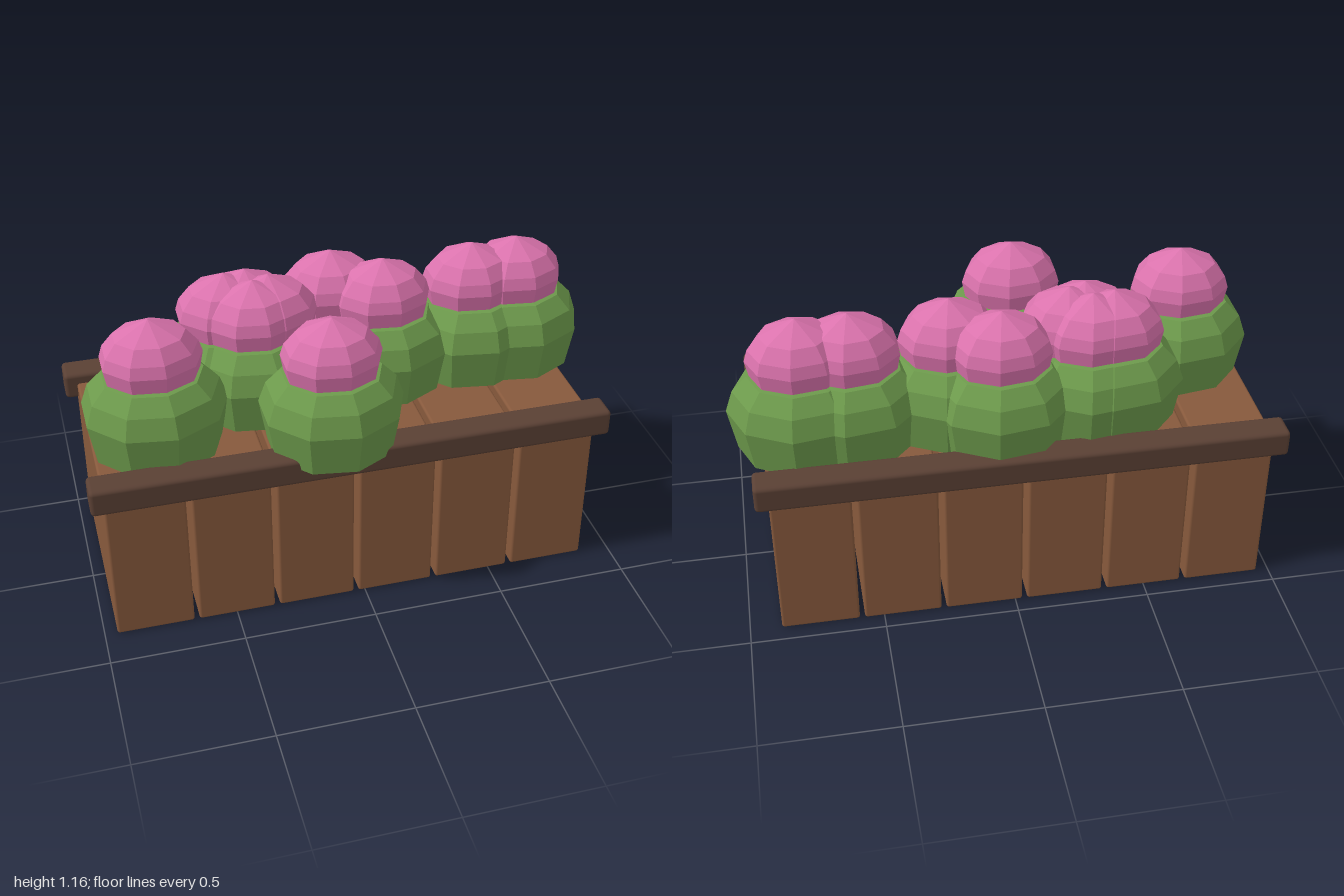
import * as THREE from 'three';
import { RoundedBoxGeometry } from 'three/addons/geometries/RoundedBoxGeometry.js';

function material(name, color, flatShading = false) {
  const m = new THREE.MeshStandardMaterial({ color, flatShading });
  m.name = name;
  return m;
}

// Nine-sided turned form, narrowed in depth
function faceted(profile, depthScale) {
  const points = profile.map(([r, y]) => new THREE.Vector2(r, y));
  const geo = new THREE.LatheGeometry(points, 9, Math.PI / 2);
  geo.scale(1, 1, depthScale);
  return geo;
}

export function createModel() {
  const model = new THREE.Group();
  model.name = 'flowerPlanter';

  const wood = material('plankWood', 0x87593c);
  const darkWood = material('railWood', 0x5a4034);
  const leaf = material('leafGreen', 0x6d9a4c, true);
  const petal = material('petalPink', 0xdb73ad, true);

  function add(parent, name, geo, mat, x, y, z) {
    const mesh = new THREE.Mesh(geo, mat);
    mesh.name = name;
    mesh.position.set(x, y, z);
    parent.add(mesh);
  }

  // Six thick planks side by side form the box
  const plankGeo = new RoundedBoxGeometry(0.29, 0.65, 0.795, 2, 0.01);
  for (let i = 0; i < 6; i++) {
    add(model, 'plank', plankGeo, wood, -0.808 + i * 0.309, 0.325, -0.043);
  }

  // Rails along the front and back rim
  const railGeo = new RoundedBoxGeometry(1.93, 0.103, 0.112, 2, 0.015);
  add(model, 'frontRail', railGeo, darkWood, -0.035, 0.638, 0.34);
  add(model, 'backRail', railGeo, darkWood, -0.035, 0.638, -0.426);

  // Bushes, each topped by a blossom
  const bushGeo = faceted(
    [[0, 0.575], [0.24, 0.65], [0.268, 0.81], [0.24, 0.89], [0.185, 0.947], [0, 0.97]], 0.91);
  const blossomGeo = faceted(
    [[0, 0.88], [0.165, 0.9], [0.186, 1.01], [0.172, 1.055], [0.13, 1.107], [0, 1.165]], 0.85);
  const spots = [
    [-0.715, 0.088], [-0.1, 0.242], [-0.4, -0.165], [-0.32, -0.175], [-0.31, -0.087],
    [-0.246, -0.115], [0.02, -0.237], [0.19, -0.122], [0.55, -0.157], [0.73, -0.162],
  ];
  for (const [x, z] of spots) {
    const plant = new THREE.Group();
    plant.name = 'plant';
    plant.position.set(x, 0, z);
    add(plant, 'bush', bushGeo, leaf, 0, 0, 0);
    add(plant, 'blossom', blossomGeo, petal, 0, 0, 0);
    model.add(plant);
  }
  return model;
}
